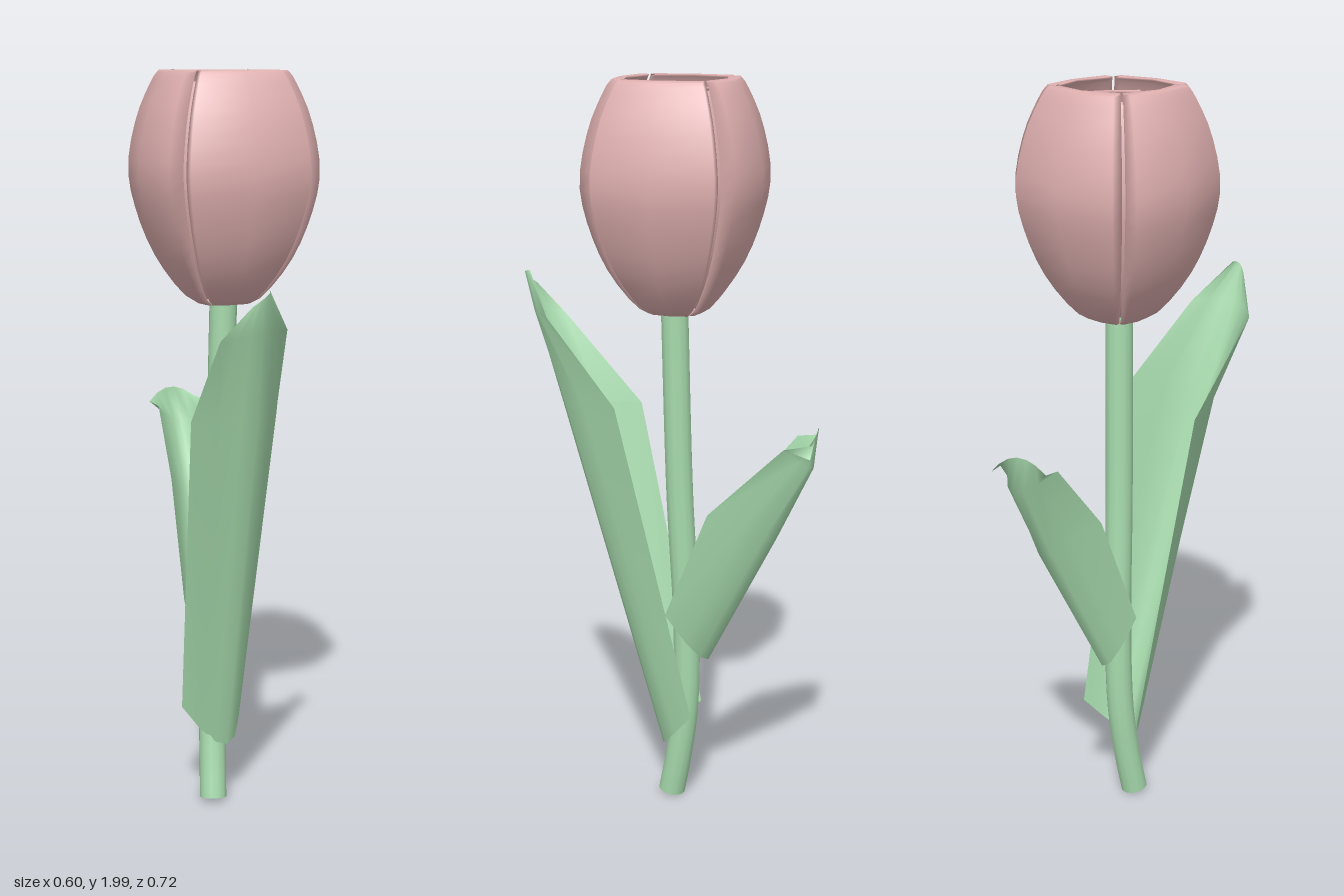
import * as THREE from 'three';

const mat = (color, side = THREE.FrontSide) => new THREE.MeshStandardMaterial({ color, side });
const pink = mat(0xe0b0b0);
const green = mat(0xa8dcae);
const leafGreen = mat(0xa8dcae, THREE.DoubleSide);
const cream = mat(0xdde0bd);

function add(parent, name, geometry, material) {
  const mesh = new THREE.Mesh(geometry, material);
  mesh.name = name;
  parent.add(mesh);
  return mesh;
}

function buildGeometry(positions, index) {
  const g = new THREE.BufferGeometry();
  g.setAttribute('position', new THREE.Float32BufferAttribute(positions, 3));
  g.setIndex(index);
  g.computeVertexNormals();
  return g;
}

// Petal cross-section: angle in degrees and share of the radius, outside then inside
const SECTION = [[-44, 0.88], [-38.5, 1], [0, 0.88], [38.5, 1], [44, 0.88], [40, 0.82], [0, 0.77], [-40, 0.82]];
const RIM = [[0, 7, 1], [1, 7, 6], [1, 6, 2], [2, 6, 3], [3, 6, 5], [3, 5, 4]];
// Petal side profile: radius and height
const PROFILE = new THREE.SplineCurve([
  [0.035, 1.385], [0.1, 1.4], [0.185, 1.5], [0.24, 1.62], [0.264, 1.74],
  [0.24, 1.87], [0.198, 1.965], [0.176, 1.995],
].map(([r, y]) => new THREE.Vector2(r, y)));

// A thick, cupped petal lofted up the profile
function petalGeometry() {
  const positions = [], index = [], rows = 20, n = SECTION.length;
  for (let i = 0; i <= rows; i++) {
    const p = PROFILE.getPoint(i / rows);
    for (const [deg, k] of SECTION) {
      const a = THREE.MathUtils.degToRad(deg);
      positions.push(Math.cos(a) * p.x * k, p.y, Math.sin(a) * p.x * k);
    }
    if (i === rows) break;
    for (let j = 0; j < n; j++) {
      const a = i * n + j, b = i * n + (j + 1) % n;
      index.push(a, a + n, b, b, a + n, b + n);
    }
  }
  for (const tri of RIM) index.push(...tri.map((v) => rows * n + v));
  return buildGeometry(positions, index);
}

// A channelled leaf: each row gives left edge, spine and right edge
function leafGeometry(rows) {
  const positions = [], index = [], across = 6, n = across + 1;
  rows.forEach((row, i) => {
    const [left, spine, right] = row.map((p) => new THREE.Vector3(...p));
    const control = spine.clone().multiplyScalar(2).sub(left.clone().add(right).multiplyScalar(0.5));
    const curve = new THREE.QuadraticBezierCurve3(left, control, right);
    curve.getPoints(across).forEach((p) => positions.push(p.x, p.y, p.z));
    if (i === rows.length - 1) return;
    for (let j = 0; j < across; j++) {
      const a = i * n + j;
      index.push(a, a + 1, a + n, a + 1, a + n + 1, a + n);
    }
  });
  return buildGeometry(positions, index);
}

export function createModel() {
  const model = new THREE.Group();
  model.name = 'tulip';

  // Stem with a bend near the foot
  const path = new THREE.CatmullRomCurve3([
    [-0.025, 0.012, 0], [-0.008, 0.12, -0.015], [0.008, 0.27, -0.03], [0.015, 0.5, -0.032],
    [0.015, 0.9, -0.012], [0.017, 1.42, 0.003],
  ].map((p) => new THREE.Vector3(...p)));
  add(model, 'stem', new THREE.TubeGeometry(path, 32, 0.037, 12), green);
  const foot = add(model, 'stemEnd', new THREE.CircleGeometry(0.037, 12), green);
  foot.position.copy(path.getPoint(0));
  foot.lookAt(foot.position.clone().sub(path.getTangent(0)));

  // Blossom: four outer petals around four smaller, turned inner ones
  const blossom = new THREE.Group();
  blossom.name = 'blossom';
  blossom.position.set(0.02, 0, -0.003);
  model.add(blossom);
  const petal = petalGeometry();
  for (let i = 0; i < 4; i++) {
    const outer = add(blossom, 'outerPetal', petal, pink);
    outer.rotation.y = THREE.MathUtils.degToRad(59 + i * 90);
    const inner = add(blossom, 'innerPetal', petal, pink);
    inner.rotation.y = THREE.MathUtils.degToRad(22 + i * 90);
    inner.scale.set(0.74, 0.93, 0.74);
    inner.position.y = 0.11;
  }

  // Pistil in the middle of the blossom
  const pistil = add(blossom, 'pistil', new THREE.CapsuleGeometry(0.062, 0.22, 5, 12), cream);
  pistil.position.set(-0.02, 1.58, -0.007);

  // Tall front leaf
  add(model, 'frontLeaf', leafGeometry([
    [[-0.05, 0.26, -0.09], [0, 0.165, 0.03], [0.115, 0.28, -0.02]],
    [[-0.18, 1.1, 0.05], [-0.185, 1.12, 0.27], [0.035, 1.14, 0.17]],
    [[-0.3, 1.34, 0.24], [-0.245, 1.36, 0.33], [-0.13, 1.36, 0.32]],
    [[-0.275, 1.43, 0.32], [-0.26, 1.46, 0.355], [-0.24, 1.47, 0.345]],
  ]), leafGreen);

  // Short back leaf
  add(model, 'backLeaf', leafGeometry([
    [[-0.045, 0.57, -0.085], [0.05, 0.42, -0.085], [0.085, 0.57, 0.045]],
    [[0.03, 0.88, -0.19], [0.19, 0.8, -0.235], [0.17, 0.87, -0.05]],
    [[0.12, 1.06, -0.31], [0.235, 1.0, -0.32], [0.26, 1.06, -0.23]],
    [[0.14, 1.065, -0.36], [0.22, 1.1, -0.335], [0.3, 1.04, -0.29]],
  ]), leafGreen);

  return model;
}
